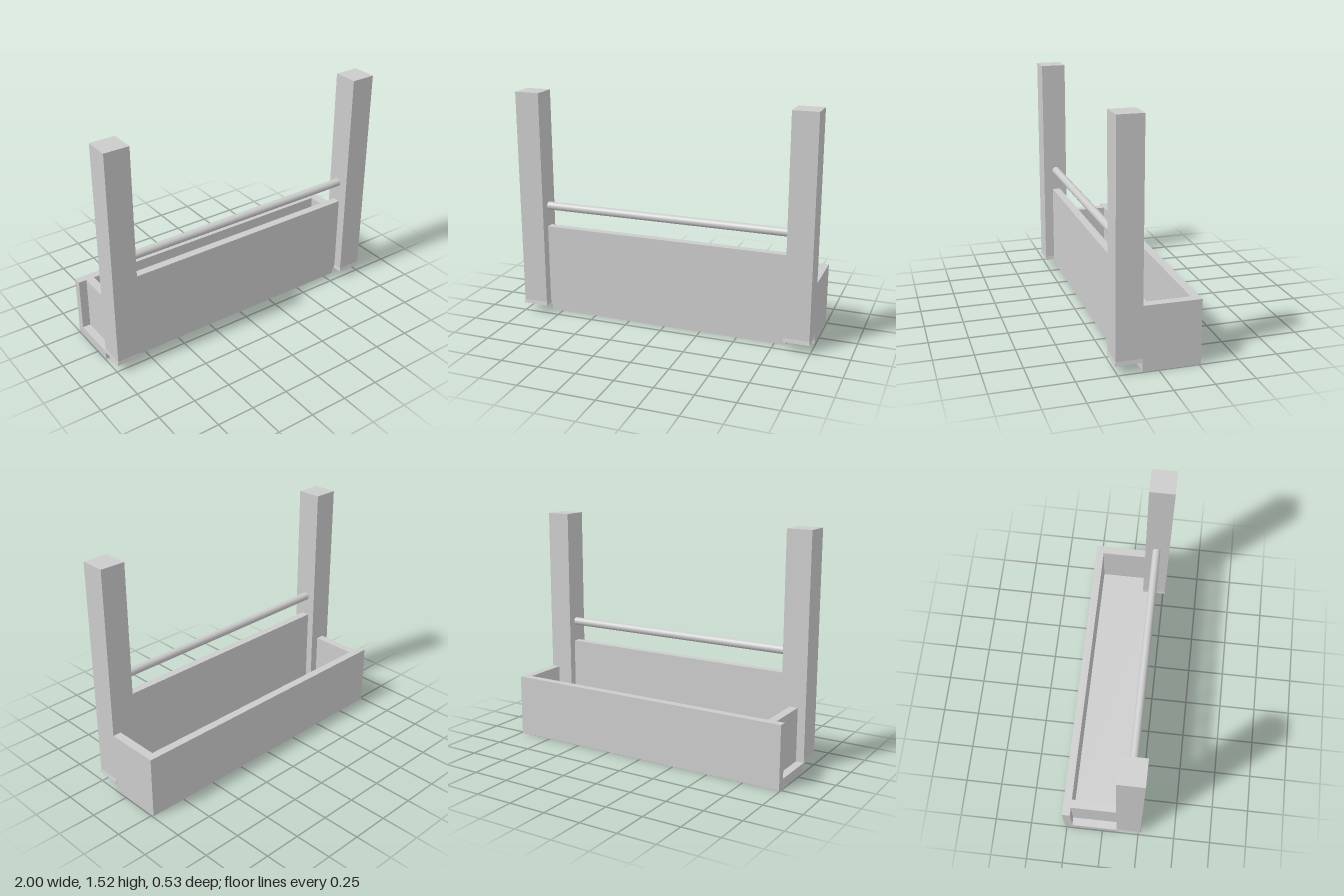
import * as THREE from 'three';

export function createModel() {
  const group = new THREE.Group();
  const material = new THREE.MeshStandardMaterial({ color: 0xcccccc, flatShading: true });
  const smooth = new THREE.MeshStandardMaterial({ color: 0xcccccc });

  const add = (name, geometry, mat = material) => {
    const mesh = new THREE.Mesh(geometry, mat);
    mesh.name = name;
    group.add(mesh);
    return mesh;
  };
  // Box given by its lower and upper corner
  const box = (name, [x0, y0, z0], [x1, y1, z1]) =>
    add(name, new THREE.BoxGeometry(x1 - x0, y1 - y0, z1 - z0))
      .position.set((x0 + x1) / 2, (y0 + y1) / 2, (z0 + z1) / 2);

  const W = 0.993, inner = 0.828, back = -0.263, floorTop = 0.06, boxTop = 0.413;
  const postBack = 0.098, postFront = 0.262, postTop = 1.522;

  // Floor board, notched around the two posts
  const outline = new THREE.Shape([
    [-W, -back], [-W, -postBack], [-inner, -postBack], [-inner, -0.178],
    [inner, -0.178], [inner, -postBack], [W, -postBack], [W, -back],
  ].map(([x, y]) => new THREE.Vector2(x, y)));
  const floor = new THREE.ExtrudeGeometry(outline, { depth: floorTop, bevelEnabled: false });
  floor.rotateX(-Math.PI / 2);
  add('floor', floor);

  // Trough walls; the right end is set in from the edge
  box('backWall', [-W, floorTop, back], [W, boxTop, -0.21]);
  box('leftEnd', [0.937, floorTop, -0.21], [W, boxTop, postBack]);
  box('rightEnd', [-0.94, floorTop, -0.21], [-0.885, boxTop, postBack]);
  box('frontPanel', [-inner, floorTop, 0.147], [inner, 0.61, 0.2]);

  // Posts with a slightly flared foot
  const size = W - inner, depth = postFront - postBack, flare = 0.005;
  for (const side of [-1, 1]) {
    const a = side * inner, b = side * W;
    box('post', [Math.min(a, b), floorTop, postBack], [Math.max(a, b), postTop, postFront]);

    const foot = new THREE.BoxGeometry(size, 0.025, depth);
    const p = foot.attributes.position;
    for (let i = 0; i < p.count; i++) {
      if (p.getY(i) > 0) continue;
      p.setX(i, p.getX(i) + Math.sign(p.getX(i)) * flare);
      if (p.getZ(i) > 0) p.setZ(i, p.getZ(i) + flare);
    }
    foot.computeVertexNormals();
    add('foot', foot).position.set((a + b) / 2, floorTop + 0.0125, (postBack + postFront) / 2);
  }

  // Round rail between the posts
  const rail = new THREE.CylinderGeometry(0.027, 0.027, inner * 2, 32);
  rail.rotateZ(Math.PI / 2);
  add('rail', rail, smooth).position.set(0, 0.75, 0.174);

  return group;
}
